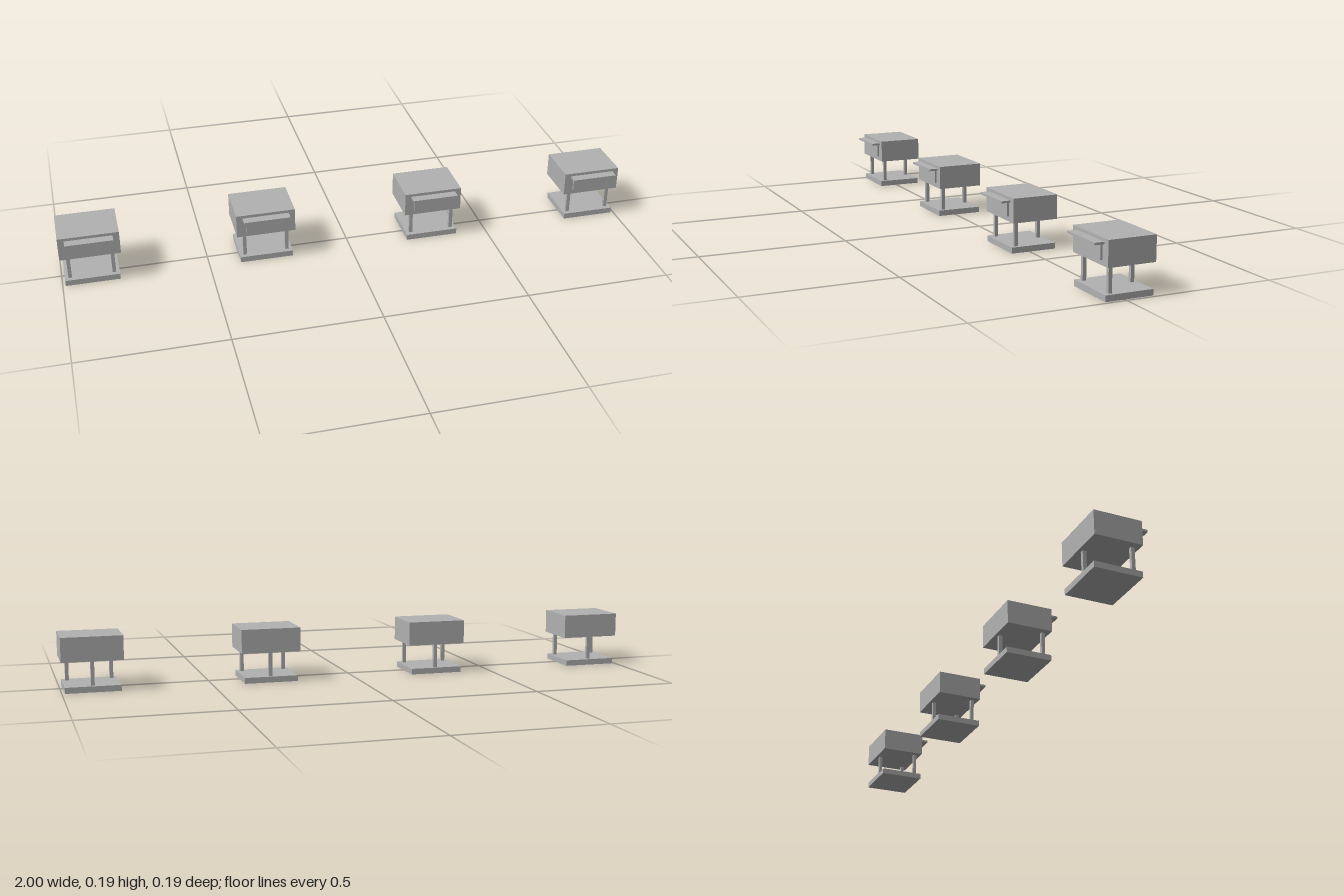
import * as THREE from 'three';

const grey = new THREE.MeshStandardMaterial({ color: 0xb2b2b2 });
grey.name = 'plain grey';

// Box given by its centre x, bottom y, centre z and size
function box(name, w, h, d, x, y, z) {
  const mesh = new THREE.Mesh(new THREE.BoxGeometry(w, h, d), grey);
  mesh.name = name;
  mesh.position.set(x, y + h / 2, z);
  return mesh;
}

function createStand() {
  const stand = new THREE.Group();
  stand.name = 'stand';

  // Base plate and raised cabinet
  stand.add(box('basePlate', 0.184, 0.02, 0.16, 0, 0, -0.015));
  stand.add(box('cabinet', 0.204, 0.082, 0.16, 0, 0.103, -0.015));

  // Two front legs and one centred back leg
  for (const [name, x, z] of [
    ['frontLeftLeg', 0.074, 0.043],
    ['frontRightLeg', -0.074, 0.043],
    ['backLeg', 0, -0.077],
  ]) stand.add(box(name, 0.012, 0.083, 0.012, x, 0.02, z));

  // Front panel with a thin ledge above it
  stand.add(box('frontPanel', 0.14, 0.048, 0.007, 0, 0.12, 0.0685));
  stand.add(box('ledge', 0.16, 0.007, 0.032, 0, 0.168, 0.081));
  return stand;
}

export function createModel() {
  const model = new THREE.Group();
  model.name = 'standRow';
  // Four equal stands in a row
  for (let i = 0; i < 4; i++) {
    const stand = createStand();
    stand.position.x = (i - 1.5) * 0.5987;
    model.add(stand);
  }
  return model;
}
